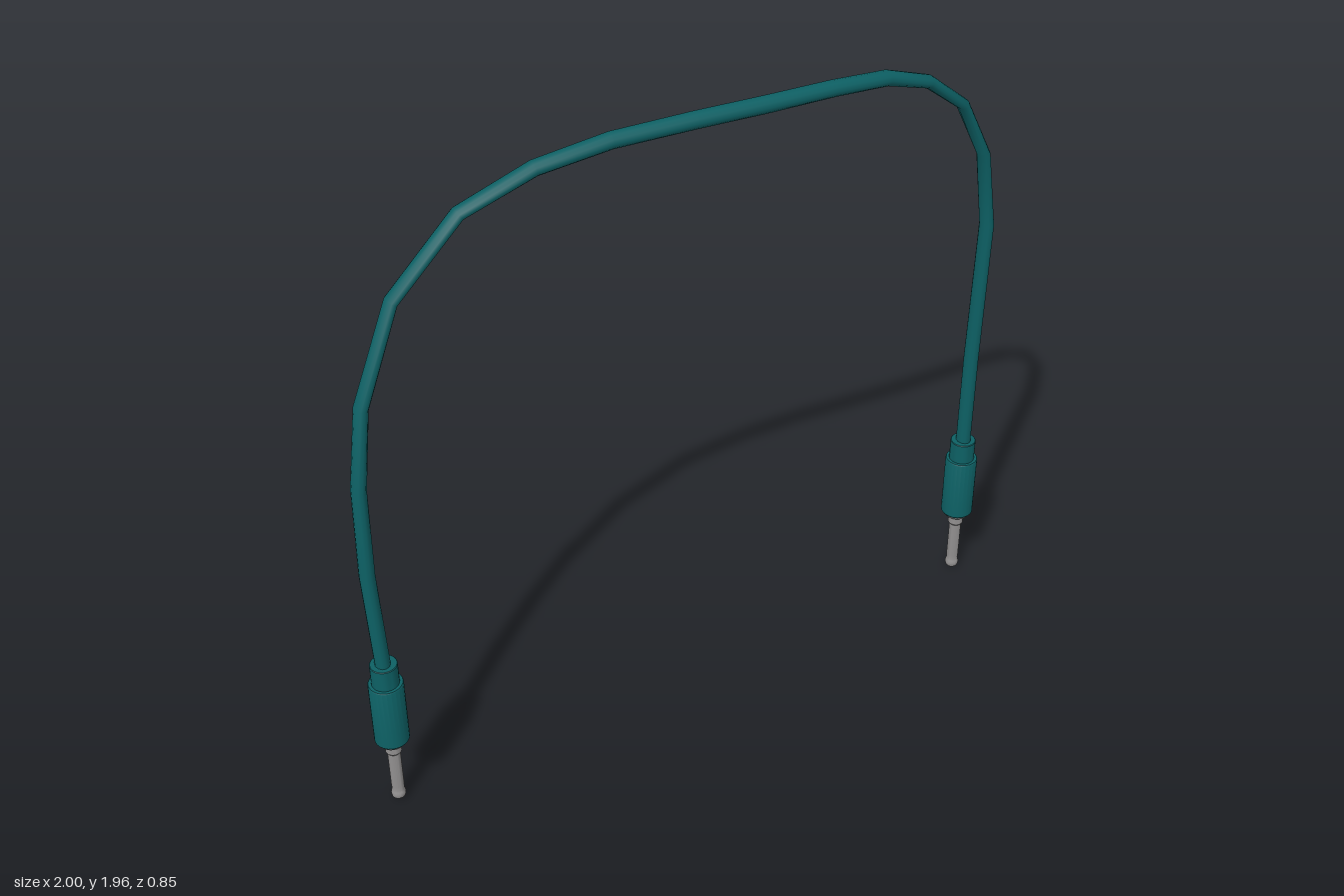
import * as THREE from 'three';
import { toCreasedNormals } from 'three/addons/utils/BufferGeometryUtils.js';

const teal = new THREE.MeshStandardMaterial({ color: 0x0d6064 });
teal.name = 'teal plastic';
const steel = new THREE.MeshStandardMaterial({ color: 0x929090 });
steel.name = 'grey metal';

// Cable centre line with its thickness in the plane of the arch: x, y, z, radius
const PATH = [
  [-0.95, 0.48, 0.373, 0.022], [-0.95, 0.54, 0.373, 0.022], [-0.963, 0.85, 0.37, 0.022],
  [-0.958, 1.13, 0.36, 0.021], [-0.928, 1.37, 0.333, 0.019], [-0.825, 1.64, 0.268, 0.017],
  [-0.637, 1.832, 0.19, 0.018], [-0.435, 1.91, 0.13, 0.021], [-0.23, 1.94, 0.072, 0.023],
  [0, 1.946, 0.01, 0.024], [0.2, 1.944, -0.05, 0.024], [0.4, 1.939, -0.122, 0.023],
  [0.565, 1.923, -0.19, 0.022], [0.7, 1.873, -0.25, 0.019], [0.823, 1.768, -0.303, 0.017],
  [0.914, 1.58, -0.348, 0.017], [0.952, 1.33, -0.369, 0.02], [0.945, 0.85, -0.372, 0.022],
  [0.945, 0.48, -0.372, 0.022],
];

// Sweep an elliptical section through the path, one ring per point
function cableGeometry(sides = 12, width = 0.026) {
  const pts = PATH.map(([x, y, z]) => new THREE.Vector3(x, y, z));
  const positions = [], index = [];
  pts.forEach((p, i) => {
    const before = p.clone().sub(pts[Math.max(i - 1, 0)]).normalize();
    const after = pts[Math.min(i + 1, pts.length - 1)].clone().sub(p).normalize();
    const tangent = before.add(after).normalize();
    const across = new THREE.Vector3(0.37, 0, 0.93);
    across.addScaledVector(tangent, -across.dot(tangent)).normalize();
    const up = new THREE.Vector3().crossVectors(tangent, across);
    for (let j = 0; j < sides; j++) {
      const a = (j / sides) * Math.PI * 2;
      const v = p.clone()
        .addScaledVector(across, Math.cos(a) * width)
        .addScaledVector(up, Math.sin(a) * PATH[i][3]);
      positions.push(v.x, v.y, v.z);
      if (i < pts.length - 1) {
        const k = (j + 1) % sides, r = i * sides, s = r + sides;
        index.push(r + j, r + k, s + k, r + j, s + k, s + j);
      }
    }
  });
  const geo = new THREE.BufferGeometry();
  geo.setAttribute('position', new THREE.Float32BufferAttribute(positions, 3));
  geo.setIndex(index);
  geo.computeVertexNormals();
  return geo;
}

// Turned part from [radius, height] pairs, bottom to top
function turned(name, profile, material) {
  const lathe = new THREE.LatheGeometry(profile.map(([r, y]) => new THREE.Vector2(r, y)), 24);
  const mesh = new THREE.Mesh(toCreasedNormals(lathe, 0.6), material);
  mesh.name = name;
  return mesh;
}

function createPlug(name, x, z) {
  const plug = new THREE.Group();
  plug.name = name;
  // Rounded tip, narrow neck, shaft and a wider shoulder
  plug.add(turned('pin', [
    [0, 0.005], [0.012, 0.008], [0.02, 0.017], [0.022, 0.027], [0.02, 0.036], [0.018, 0.042],
    [0.019, 0.06], [0.019, 0.19], [0.024, 0.197], [0.024, 0.24],
  ], steel));
  plug.add(turned('sleeveEndRing', [[0, 0.231], [0.038, 0.231], [0.046, 0.242]], steel));
  plug.add(turned('sleeve', [[0.046, 0.242], [0.051, 0.248], [0.051, 0.457], [0.049, 0.46], [0.039, 0.46]], teal));
  plug.add(turned('collar', [[0.04, 0.455], [0.04, 0.528], [0.038, 0.53], [0, 0.53]], teal));
  plug.position.set(x, 0, z);
  return plug;
}

export function createModel() {
  const model = new THREE.Group();
  model.name = 'patchCable';
  const cable = new THREE.Mesh(cableGeometry(), teal);
  cable.name = 'cable';
  model.add(cable, createPlug('rightPlug', -0.948, 0.373), createPlug('leftPlug', 0.945, -0.372));
  return model;
}
